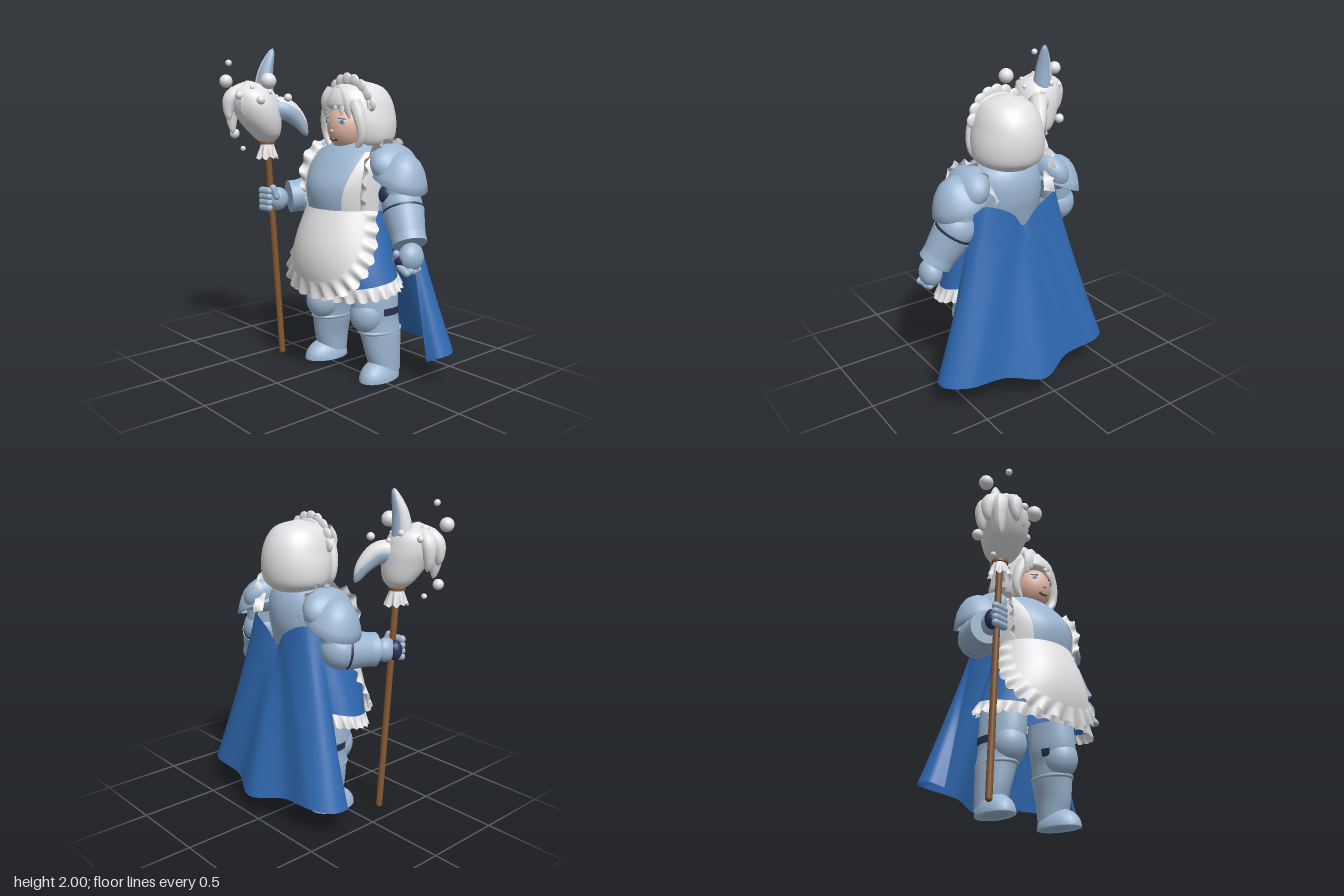
import * as THREE from 'three';
import { ParametricGeometry } from 'three/addons/geometries/ParametricGeometry.js';

const mat = (name, color) => {
  const m = new THREE.MeshStandardMaterial({ color, side: THREE.DoubleSide });
  m.name = name;
  return m;
};
const V = (p) => new THREE.Vector3(...p);
const curve = (pts, closed = false) => new THREE.CatmullRomCurve3(pts.map(V), closed);
const smooth = THREE.MathUtils.smoothstep;

export function createModel() {
  const white = mat('white cloth', 0xe2e2e4), steel = mat('pale blue armour', 0x9cb6d1);
  const blue = mat('blue cloth', 0x2f69b1), navy = mat('navy underlayer', 0x2a3156);
  const skin = mat('skin', 0xe3b8a4), brown = mat('brown wood', 0x845730), iris = mat('iris blue', 0x6ba4d8);

  const root = new THREE.Group();
  root.name = 'armouredMaid';
  const body = new THREE.Group();
  body.name = 'figure';
  body.position.x = 0.08;
  root.add(body);

  const add = (parent, name, geo, m, pos = [0, 0, 0], scale = [1, 1, 1], rot = [0, 0, 0]) => {
    const mesh = new THREE.Mesh(geo, m);
    mesh.name = name;
    mesh.position.set(...pos);
    mesh.scale.set(...scale);
    mesh.rotation.set(...rot);
    parent.add(mesh);
    return mesh;
  };
  const unit = new THREE.SphereGeometry(1, 24, 16);
  const ball = (parent, name, m, pos, r, rot) => add(parent, name, unit, m, pos, r.length ? r : [r, r, r], rot);
  const param = (fn, nu, nv) => new ParametricGeometry(fn, nu, nv);

  // Smooth sample of rows [y, cx, cz, rx, front depth, back depth]
  const sample = (rows, v) => {
    const n = rows.length - 1, f = Math.min(v * n, n - 1e-6), i = Math.floor(f), t = f - i;
    const [a, b, c, d] = [Math.max(i - 1, 0), i, i + 1, Math.min(i + 2, n)].map((k) => rows[k]);
    return b.map((q, k) => q + 0.5 * t * (c[k] - a[k] + t * (2 * a[k] - 5 * q + 4 * c[k] - d[k] + t * (3 * (q - c[k]) + d[k] - a[k]))));
  };
  const onRows = (rows, a, v, off, out) => {
    const [y, cx, cz, rx, rf, rb] = sample(rows, v), c = Math.cos(a);
    return out.set(cx + Math.sin(a) * (rx + off), y, cz + c * ((c > 0 ? rf : rb) + off));
  };
  const loft = (rows, tweak = () => {}) => param((u, v, out) => {
    onRows(rows, u * Math.PI * 2, v, 0, out);
    tweak(out);
  }, 48, 28);

  // Fluted frill stretched between an inner and an outer edge
  const frill = (inner, outer, waves, amp) => param((u, v, out) => {
    const a = inner.getPoint(u), b = outer.getPoint(u), w = b.clone().sub(a);
    const n = inner.getTangent(u).cross(w).normalize(), ph = u * waves * Math.PI * 2;
    out.copy(a).addScaledVector(w, v * (1 + 0.1 * Math.cos(ph))).addScaledVector(n, amp * v * Math.sin(ph));
  }, waves * 8, 4);

  // Tube that narrows to a point
  const taper = (pts, r, power = 0.7, flat = 1) => {
    const c = curve(pts), g = new THREE.TubeGeometry(c, 24, 1, 12), p = g.attributes.position, q = new THREE.Vector3();
    for (let i = 0; i < p.count; i++) {
      const t = Math.floor(i / 13) / 24, o = c.getPointAt(t), k = r * Math.pow(1 - t, power) + 0.0005;
      q.fromBufferAttribute(p, i).sub(o).multiplyScalar(k);
      p.setXYZ(i, o.x + q.x, o.y + q.y, o.z + q.z * flat);
    }
    g.computeVertexNormals();
    return g;
  };
  const limb = (parent, name, m, a, b, ra, rb) => {
    const d = V(b).sub(V(a));
    const mesh = add(parent, name, new THREE.CylinderGeometry(rb, ra, d.length(), 28), m, V(a).addScaledVector(d, 0.5).toArray());
    mesh.quaternion.setFromUnitVectors(new THREE.Vector3(0, 1, 0), d.normalize());
  };

  // Breastplate
  const torso = [[1.0, 0, 0, 0.25, 0.225, 0.2], [1.12, 0, 0, 0.26, 0.25, 0.23], [1.21, 0, 0, 0.265, 0.24, 0.25],
    [1.31, 0, 0, 0.26, 0.18, 0.25], [1.39, 0, -0.02, 0.215, 0.13, 0.2], [1.45, 0, -0.05, 0.1, 0.09, 0.1]];
  add(body, 'breastplate', loft(torso), steel);

  // Skirt, hem frill, apron and apron frill share one surface
  const skirtPt = (a, y, off = 0) => {
    const t = (1.05 - y) / 0.45, c = Math.cos(a);
    const front = 0.225 + 0.088 * Math.sin(Math.min(t, 1.3) * 2.3);
    return [Math.sin(a) * (0.25 + 0.15 * t + off), y, c * ((c > 0 ? front : 0.2) + off)];
  };
  const hem = (a) => 0.615 - 0.05 * Math.cos(a);
  add(body, 'skirt', param((u, v, out) => {
    const a = u * Math.PI * 2;
    out.set(...skirtPt(a, hem(a) + v * (1.06 - hem(a))));
  }, 48, 16), blue);
  const ring = (f, n = 40) => curve(Array.from({ length: n }, (_, i) => f((i / n) * Math.PI * 2)), true);
  add(body, 'skirtFrill', frill(ring((a) => skirtPt(a, hem(a) + 0.025, 0.006)), ring((a) => skirtPt(a, hem(a) - 0.05, 0.015)), 28, 0.014), white);
  const apronEdge = (t) => 1.2 * Math.sqrt(Math.max(0, 1 - t ** 2.5)) * (1 - 0.12 * t);
  add(body, 'apron', param((u, v, out) => {
    const t = 1 - v * v;
    out.set(...skirtPt((u * 2 - 1) * apronEdge(t), 1.05 - 0.44 * t, 0.018));
  }, 32, 32), white);
  const edge = (grow) => curve(Array.from({ length: 41 }, (_, i) => {
    const q = (i / 40) * 2 - 1, s = Math.sin(q * Math.PI / 2), t = Math.cos(q * Math.PI / 2);
    return skirtPt(Math.sign(q) * apronEdge(t) + grow * 0.24 * s, 1.05 - 0.44 * t - grow * 0.085 * t, 0.022 + grow * 0.018);
  }));
  add(body, 'apronFrill', frill(edge(-0.14), edge(1), 17, 0.016), white);

  // Paired parts, modelled on the +x side and mirrored
  const legRows = [[0.04, 0.25, -0.07, 0.085, 0.08, 0.12], [0.16, 0.243, -0.07, 0.092, 0.12, 0.125], [0.28, 0.228, -0.07, 0.108, 0.145, 0.13],
    [0.37, 0.217, -0.07, 0.113, 0.17, 0.115], [0.47, 0.205, -0.07, 0.128, 0.2, 0.11], [0.62, 0.195, -0.07, 0.13, 0.2, 0.11]];
  const foot = unit.clone().scale(0.1, 0.12, 0.155);
  for (let i = 0, p = foot.attributes.position; i < p.count; i++) p.setY(i, Math.max(0, p.getY(i)));
  const dome = new THREE.LatheGeometry([[0.165, -0.03], [0.19, -0.025], [0.168, 0.02], [0.138, 0.07], [0.098, 0.112], [0.052, 0.14], [0, 0.15]]
    .map((p) => new THREE.Vector2(...p)), 36);
  for (const s of [1, -1]) {
    const half = new THREE.Group();
    half.name = s > 0 ? 'leftHalf' : 'rightHalf';
    half.scale.x = s;
    body.add(half);
    add(half, 'strap', param((u, v, out) => {
      const a = 0.64 + 0.2 * v + 0.25 * v ** 4;
      onRows(torso, a + u * (1.6 - a), 0.04 + v * 0.76, 0.008, out);
    }, 10, 16), white);
    add(half, 'shoulderFrill', frill(
      curve([[0.23, 1.05, 0.11], [0.25, 1.2, 0.12], [0.23, 1.34, 0.06], [0.2, 1.4, -0.05], [0.2, 1.37, -0.17], [0.16, 1.24, -0.25]]),
      curve([[0.27, 1.07, 0.12], [0.3, 1.22, 0.14], [0.285, 1.38, 0.09], [0.275, 1.45, -0.06], [0.25, 1.43, -0.22], [0.21, 1.23, -0.28]]), 8, 0.018), white);
    // Pauldron: flared plate under a rounded shoulder cap
    add(half, 'pauldron', dome, steel, [0.338, 1.245, -0.11], [0.98, 1, 0.9], [0, 0, -0.42]);
    ball(half, 'pauldronCap', steel, [0.285, 1.31, -0.11], [0.1, 0.135, 0.172], [0, 0, 0.5]);
    // Leg, knee cap, joint gaps and boot
    add(half, 'leg', loft(legRows), steel);
    ball(half, 'kneeCap', steel, [0.212, 0.41, 0.025], [0.106, 0.125, 0.115]);
    for (const [from, to] of [[1.2, 2.2], [-1.25, -0.95]]) add(half, 'kneeGap',
      param((u, v, out) => onRows(legRows, from + u * (to - from), 0.685 + v * 0.09, 0.003, out), 12, 4), navy);
    add(half, 'greaveRim', new THREE.TorusGeometry(1, 0.1, 10, 32), steel, [0.224, 0.3, -0.062], [0.102, 0.14, 0.12], [Math.PI / 2, 0, 0]);
    add(half, 'boot', foot, steel, [0.253, 0, -0.035], [1, 1, 1], [0, 0.12, 0]);
  }

  // Arm: underlayer, elbow, flared gauntlet cuff
  const arm = (name, shoulder, elbow, wrist, gap) => {
    const g = new THREE.Group();
    g.name = name;
    root.add(g);
    limb(g, 'upperArm', steel, shoulder, elbow, 0.1, 0.1);
    ball(g, 'armpit', navy, gap, [0.055, 0.06, 0.055]);
    ball(g, 'elbow', steel, elbow, 0.12);
    const e = V(elbow).lerp(V(wrist), 0.18).toArray(), r = V(elbow).lerp(V(wrist), 0.5).toArray();
    limb(g, 'elbowGap', navy, V(elbow).lerp(V(wrist), 0.12).toArray(), e, 0.119, 0.119);
    limb(g, 'forearm', steel, e, wrist, 0.124, 0.095);
    limb(g, 'cuff', steel, r, wrist, 0.1, 0.104);
    return g;
  };
  const finger = new THREE.CapsuleGeometry(0.022, 0.06, 6, 12);

  const left = arm('leftArm', [0.42, 1.24, -0.11], [0.44, 1.08, -0.105], [0.56, 0.87, -0.05], [0.385, 1.14, -0.04]);
  ball(left, 'hand', steel, [0.585, 0.8, -0.035], [0.068, 0.085, 0.082]);
  ball(left, 'palm', navy, [0.56, 0.785, 0.0], [0.05, 0.045, 0.058]);
  for (let i = 0; i < 4; i++) add(left, 'finger', finger, steel, [0.595 - i * 0.004, 0.738 + (i % 2) * 0.006, 0.036 - i * 0.034], [1, 1, 1], [0, 0, 1.1]);
  add(left, 'thumb', finger, steel, [0.535, 0.8, 0.035], [1, 1, 1], [0.4, 0, -0.4]);

  const right = arm('rightArm', [-0.26, 1.24, -0.11], [-0.29, 1.08, -0.09], [-0.375, 1.06, 0.11], [-0.21, 1.14, -0.04]);
  ball(right, 'hand', steel, [-0.4, 1.05, 0.18], [0.058, 0.075, 0.07]);
  ball(right, 'palm', navy, [-0.435, 1.045, 0.225], [0.045, 0.062, 0.045]);
  for (let i = 0; i < 4; i++) add(right, 'finger', finger, steel, [-0.415, 1.0 + i * 0.036, 0.268], [1.1, 1.1, 1], [0, 0.1, Math.PI / 2]);
  add(right, 'thumb', finger, steel, [-0.36, 1.1, 0.235], [1, 1, 1], [0.3, 0, 0.2]);

  // Cape hanging behind the shoulders
  const capeTop = curve([[-0.22, 1.2, -0.18], [-0.15, 1.22, -0.25], [0.0, 1.15, -0.275], [0.08, 1.06, -0.265], [0.16, 1.15, -0.275], [0.31, 1.22, -0.25], [0.38, 1.2, -0.18]]);
  const capeHem = curve([[-0.43, 0.14, -0.17], [-0.505, 0.17, -0.22], [-0.505, 0.18, -0.33], [-0.4, 0.19, -0.41], [-0.15, 0.17, -0.42], [0.08, 0.13, -0.51],
    [0.31, 0.17, -0.42], [0.56, 0.19, -0.41], [0.675, 0.18, -0.31], [0.665, 0.17, -0.21], [0.6, 0.14, -0.17]]);
  add(root, 'cape', param((u, v, out) => {
    out.lerpVectors(capeHem.getPoint(1 - u), capeTop.getPoint(1 - u), v);
  }, 64, 24), blue);

  // Head: face, bobbed hair with an opening, fringe, ruffled headband
  const head = new THREE.Group();
  head.name = 'head';
  body.add(head);
  ball(head, 'face', skin, [0, 1.53, -0.005], [0.126, 0.152, 0.137]);
  ball(head, 'nose', skin, [0, 1.505, 0.128], [0.014, 0.011, 0.014]);
  ball(head, 'mouth', brown, [0, 1.457, 0.115], [0.038, 0.012, 0.007], [0.35, 0, 0]);
  ball(head, 'teeth', white, [0, 1.459, 0.12], [0.022, 0.004, 0.004], [0.35, 0, 0]);
  const hair = [[1.39, 0, -0.1, 0.13, 0.12, 0.14], [1.44, 0, -0.1, 0.203, 0.17, 0.2], [1.53, 0, -0.1, 0.218, 0.21, 0.222], [1.63, 0, -0.1, 0.2, 0.228, 0.216],
    [1.71, 0, -0.1, 0.172, 0.22, 0.185], [1.77, 0, -0.1, 0.12, 0.165, 0.125], [1.805, 0, -0.1, 0.002, 0.002, 0.002]];
  add(head, 'hair', loft(hair, (p) => {
    if (p.z > -0.1) p.z -= 0.12 * (1 - smooth(p.y, 1.6, 1.655)) * (1 - smooth(Math.abs(p.x), 0.105, 0.15));
  }), white);
  for (const s of [1, -1]) {
    const eye = new THREE.Group();
    eye.name = 'eye';
    eye.position.set(s * 0.068, 1.563, 0.107);
    eye.rotation.set(-0.15, s * 0.5, 0);
    head.add(eye);
    ball(eye, 'eyeWhite', white, [0, 0, 0], [0.026, 0.016, 0.005]);
    ball(eye, 'iris', iris, [0, 0, 0.003], [0.016, 0.015, 0.005]);
    ball(eye, 'pupil', navy, [0, 0, 0.006], [0.005, 0.007, 0.003]);
    add(eye, 'lash', new THREE.BoxGeometry(0.05, 0.004, 0.008), navy, [0, 0.016, 0.002]);
    add(head, 'sideLock', taper([[s * 0.11, 1.68, 0.05], [s * 0.152, 1.58, 0.045], [s * 0.16, 1.48, 0.035], [s * 0.11, 1.39, 0.04]], 0.042, 0.4), white);
  }
  // Fringe swept from a parting on the right
  [[-0.115, 1.585], [-0.095, 1.62], [0.025, 1.63], [0.07, 1.6], [0.11, 1.58]].forEach(([x, y]) =>
    add(head, 'fringeLock', taper([[-0.045 + x * 0.3, 1.74, 0.06], [x * 0.75 - 0.015, 1.69, 0.09], [x, y, 0.132 - x * x * 3.8]], 0.05, 0.5, 0.5), white));
  for (let i = 0; i < 9; i++) {
    const a = (i / 8 - 0.5) * 2.6;
    ball(head, 'headbandRuffle', white, [Math.sin(a) * 0.185, 1.61 + Math.cos(a) * 0.198, 0.01 - 0.035 * (1 - Math.cos(a))], [0.043, 0.042, 0.018], [0, 0, -a]);
  }
  add(head, 'headband', new THREE.TorusGeometry(0.185, 0.016, 10, 40, 2.8), white, [0, 1.605, -0.01], [1, 1, 1], [0, 0, 0.17]);

  // Mop staff: pole, ferrule, collar and soapy head with two horns
  const mop = new THREE.Group();
  mop.name = 'mopStaff';
  root.add(mop);
  limb(mop, 'pole', brown, [-0.39, 0.02, 0.17], [-0.41, 1.44, 0.255], 0.02, 0.02);
  ball(mop, 'poleEnd', brown, [-0.39, 0.022, 0.17], 0.02);
  add(mop, 'ferrule', new THREE.CylinderGeometry(0.05, 0.05, 0.03, 24), brown, [-0.41, 1.422, 0.255]);
  const circle = (r, y) => ring((a) => [-0.41 + r * Math.sin(a), y, 0.253 + r * Math.cos(a)], 16);
  add(mop, 'collar', frill(circle(0.04, 1.412), circle(0.066, 1.32), 8, 0.01), white);
  add(mop, 'mopHead', loft([[1.42, -0.41, 0.255, 0.045, 0.045, 0.045], [1.47, -0.412, 0.265, 0.1, 0.09, 0.09], [1.56, -0.422, 0.295, 0.138, 0.135, 0.13],
    [1.66, -0.44, 0.32, 0.152, 0.15, 0.148], [1.75, -0.455, 0.33, 0.12, 0.125, 0.12], [1.8, -0.465, 0.33, 0.002, 0.002, 0.002]]), white);
  [[-0.615, 1.56, 0.38], [-0.6, 1.53, 0.31], [-0.555, 1.47, 0.42], [-0.49, 1.56, 0.485], [-0.4, 1.58, 0.43]].forEach(([x, y, z]) => {
    const mid = [x * 0.85 - 0.069, 1.7, z * 0.85 + 0.051];
    add(mop, 'mopStrand', taper([[-0.46, 1.74, 0.34], mid, [x, (y + 1.68) / 2, z], [x + 0.01, y, z]], 0.068, 0.5), white);
  });
  // Horns: blue on one face, white on the other
  add(mop, 'upperHorn', taper([[-0.435, 1.72, 0.255], [-0.428, 1.86, 0.24], [-0.41, 2.0, 0.2]], 0.062, 0.5), steel);
  add(mop, 'upperHornFront', taper([[-0.455, 1.72, 0.258], [-0.444, 1.86, 0.243], [-0.411, 2.0, 0.202]], 0.055, 0.5), white);
  add(mop, 'lowerHorn', taper([[-0.42, 1.62, 0.27], [-0.335, 1.62, 0.17], [-0.295, 1.55, 0.09], [-0.27, 1.455, 0.04]], 0.08, 0.5), steel);
  add(mop, 'lowerHornCover', taper([[-0.42, 1.635, 0.26], [-0.338, 1.638, 0.16], [-0.296, 1.568, 0.083], [-0.272, 1.485, 0.04]], 0.072, 0.5), white);

  // Foam clinging to the head and bubbles floating around it
  for (let i = 0; i < 12; i++) {
    const a = i * 2.4, h = 0.95 - i * 0.07, r = Math.sqrt(1 - h * h);
    ball(mop, 'foam', white, [-0.45 + 0.155 * r * Math.sin(a), 1.66 + 0.135 * h, 0.325 + 0.155 * r * Math.cos(a)], 0.015 + 0.006 * (i % 3));
  }
  [[-0.645, 1.8, 0.4, 0.042], [-0.23, 1.8, 0.365, 0.048], [-0.52, 1.91, 0.457, 0.02], [-0.19, 1.7, 0.25, 0.025],
    [-0.65, 1.465, 0.34, 0.032], [-0.54, 1.375, 0.35, 0.017]].forEach(([x, y, z, r]) => ball(mop, 'bubble', white, [x, y, z], r));

  return root;
}
